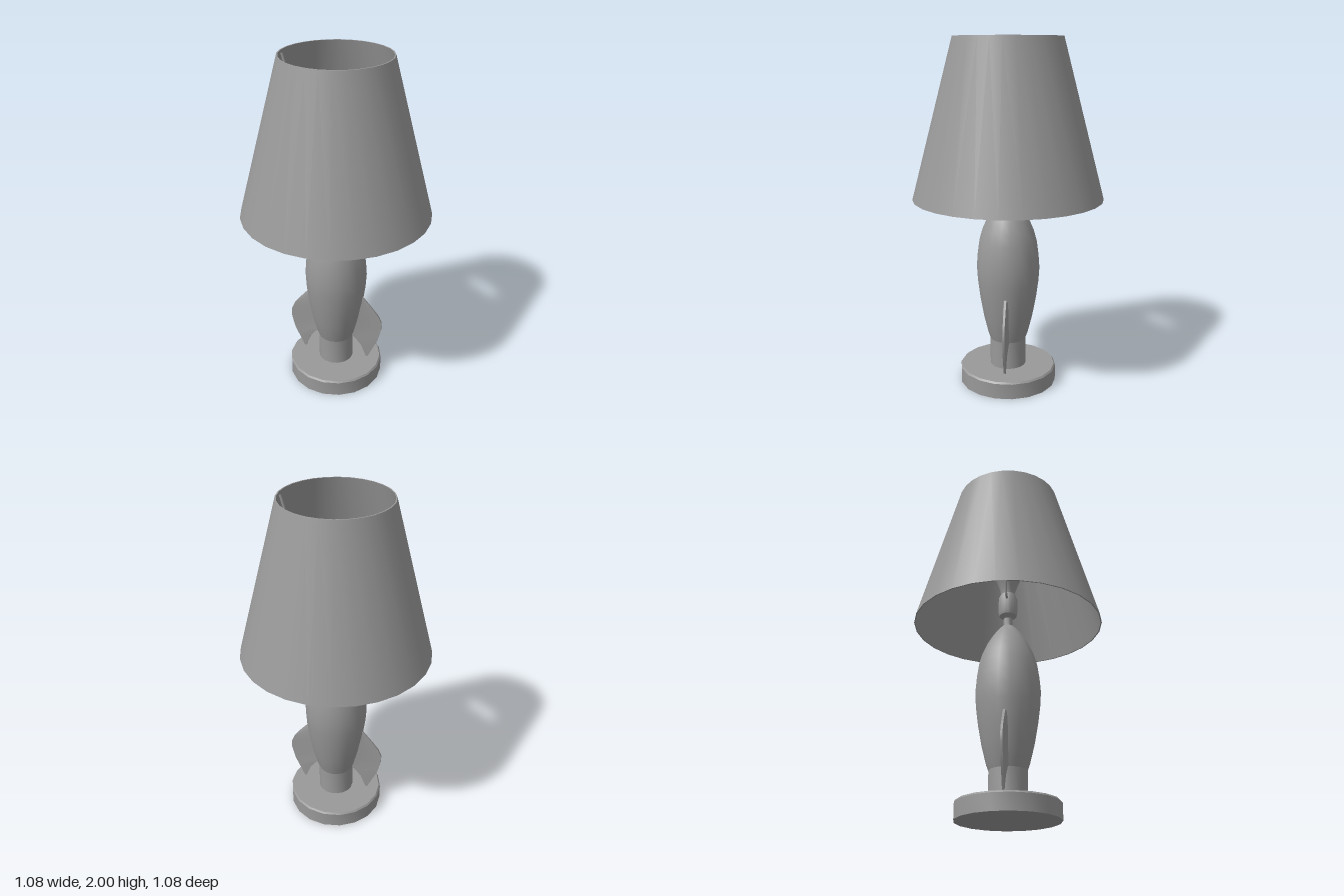
import * as THREE from 'three';
import { toCreasedNormals } from 'three/addons/utils/BufferGeometryUtils.js';

const grey = new THREE.MeshStandardMaterial({ color: 0x999999 });
grey.name = 'plain grey';

function part(name, geometry, parent) {
  const mesh = new THREE.Mesh(geometry, grey);
  mesh.name = name;
  parent.add(mesh);
  return mesh;
}

// Revolved profile of [radius, height] pairs, listed so that faces point outward
function turned(points, sides) {
  const profile = points.map(([r, y]) => new THREE.Vector2(r, y));
  return toCreasedNormals(new THREE.LatheGeometry(profile, sides), 0.6);
}

// Fin lofted upward from six-sided sections: thick at the root, thin at the edge
function finGeometry() {
  // height, root x, outer x, half thickness at the root
  const rows = [
    [0.12, 0.195, 0.207, 0.006],
    [0.20, 0.165, 0.242, 0.009],
    [0.25, 0.130, 0.265, 0.014],
    [0.28, 0.095, 0.273, 0.018],
    [0.34, 0.110, 0.287, 0.018],
    [0.385, 0.125, 0.287, 0.018],
    [0.43, 0.135, 0.268, 0.018],
    [0.48, 0.145, 0.230, 0.018],
    [0.55, 0.150, 0.170, 0.016],
  ];
  const positions = [];
  const index = [];
  for (const [y, root, outer, half] of rows) {
    const mid = Math.min(root + 0.06, (root + outer * 2) / 3);
    const side = [[root, half], [mid, Math.min(half, 0.010)], [outer, 0.006]];
    for (const [x, z] of side) positions.push(x, y, z);
    for (const [x, z] of [...side].reverse()) positions.push(x, y, -z);
  }
  for (let i = 0; i < rows.length - 1; i++) {
    for (let j = 0; j < 6; j++) {
      const a = i * 6 + j;
      const b = i * 6 + (j + 1) % 6;
      index.push(a, b, b + 6, a, b + 6, a + 6);
    }
  }
  const top = (rows.length - 1) * 6;
  for (let k = 1; k < 5; k++) {
    index.push(0, k + 1, k, top, top + k, top + k + 1);
  }
  const geometry = new THREE.BufferGeometry();
  geometry.setAttribute('position', new THREE.Float32BufferAttribute(positions, 3));
  geometry.setIndex(index);
  return toCreasedNormals(geometry, 0.6);
}

export function createModel() {
  const lamp = new THREE.Group();
  lamp.name = 'rocketLamp';

  // Round foot with a softened top edge
  part('base', turned([
    [0, 0], [0.283, 0], [0.283, 0.09], [0.275, 0.10], [0, 0.10],
  ], 18), lamp);

  // Exhaust column under the rocket
  part('column', turned([[0.105, 0.09], [0.105, 0.27]], 18), lamp);

  // Rocket hull
  part('rocketBody', turned([
    [0, 0.26], [0.104, 0.26], [0.118, 0.30], [0.143, 0.40], [0.165, 0.52],
    [0.178, 0.62], [0.183, 0.70], [0.177, 0.78], [0.166, 0.86], [0.148, 0.925],
    [0.120, 0.99], [0.085, 1.05], [0.054, 1.09], [0.034, 1.11], [0, 1.115],
  ], 18), lamp);

  // Bulb holder
  part('socket', turned([
    [0.027, 1.10], [0.027, 1.16], [0.050, 1.18], [0.055, 1.20],
    [0.055, 1.29], [0.043, 1.32], [0, 1.325],
  ], 18), lamp);

  // Pear-shaped bulb
  const bulb = [[0.040, 1.31], [0.045, 1.35], [0.067, 1.41], [0.088, 1.46]];
  for (let i = 0; i <= 8; i++) {
    const t = -0.15 + (Math.PI / 2 + 0.15) * i / 8;
    bulb.push([Math.max(0, 0.10 * Math.cos(t)), 1.52 + 0.10 * Math.sin(t)]);
  }
  part('bulb', turned(bulb, 18), lamp);

  // Matching fin and shade wire on both sides
  const fin = finGeometry();
  const path = new THREE.CurvePath();
  const corners = [[0.03, 1.275], [0.095, 1.275], [0.293, 1.985]]
    .map(([x, y]) => new THREE.Vector3(x, y, 0));
  path.add(new THREE.LineCurve3(corners[0], corners[1]));
  path.add(new THREE.LineCurve3(corners[1], corners[2]));
  const wire = new THREE.TubeGeometry(path, 48, 0.007, 6);
  for (const [side, angle] of [['left', 0], ['right', Math.PI]]) {
    part(side + 'Fin', fin, lamp).rotation.y = angle;
    part(side + 'ShadeWire', wire, lamp).rotation.y = angle;
  }

  // Open conical shade with a thin wall
  part('shade', turned([
    [0.533, 1.11], [0.54, 1.11], [0.303, 2], [0.296, 2], [0.533, 1.11],
  ], 28), lamp);

  return lamp;
}
